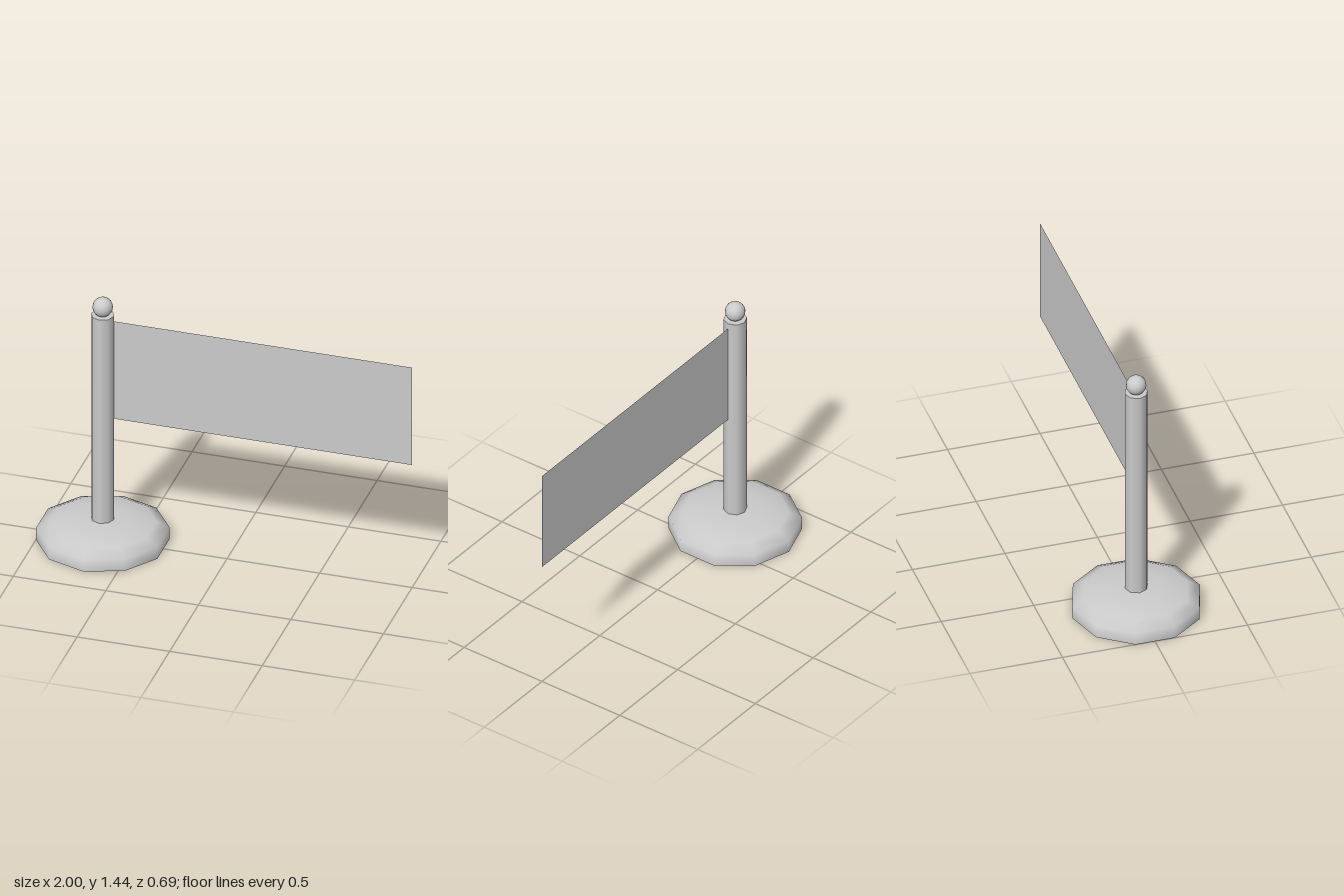
import * as THREE from 'three';

export function createModel() {
  const model = new THREE.Group();
  const material = new THREE.MeshStandardMaterial({ color: 0xcccccc, side: THREE.DoubleSide });
  const poleX = -0.672;

  function add(name, geometry, x, y) {
    const mesh = new THREE.Mesh(geometry, material);
    mesh.name = name;
    mesh.position.set(x, y, 0);
    model.add(mesh);
  }

  // Hollow ten-sided domed foot, open underneath
  const footProfile = [[0.345, 0], [0.345, 0.07], [0.278, 0.105], [0.152, 0.127], [0, 0.13]]
    .map(([r, y]) => new THREE.Vector2(r, y));
  add('base', new THREE.LatheGeometry(footProfile, 10), poleX, 0);

  // Eight-sided tube that ends inside the hollow foot
  const poleBottom = 0.067, poleTop = 1.34, poleRadius = 0.061;
  const poleHeight = poleTop - poleBottom;
  add('pole', new THREE.CylinderGeometry(poleRadius, poleRadius, poleHeight, 8, 1, true),
    poleX, poleBottom + poleHeight / 2);

  // Flat cap closing the top of the pole
  add('poleCap', new THREE.CircleGeometry(poleRadius, 8).rotateX(-Math.PI / 2), poleX, poleTop);

  // Ball finial
  add('finial', new THREE.SphereGeometry(0.053, 16, 12), poleX, 1.386);

  // Thin banner running from the pole to the left
  const start = poleX + poleRadius;
  add('banner', new THREE.PlaneGeometry(1 - start, 0.58), (1 + start) / 2, 1.02);

  return model;
}
